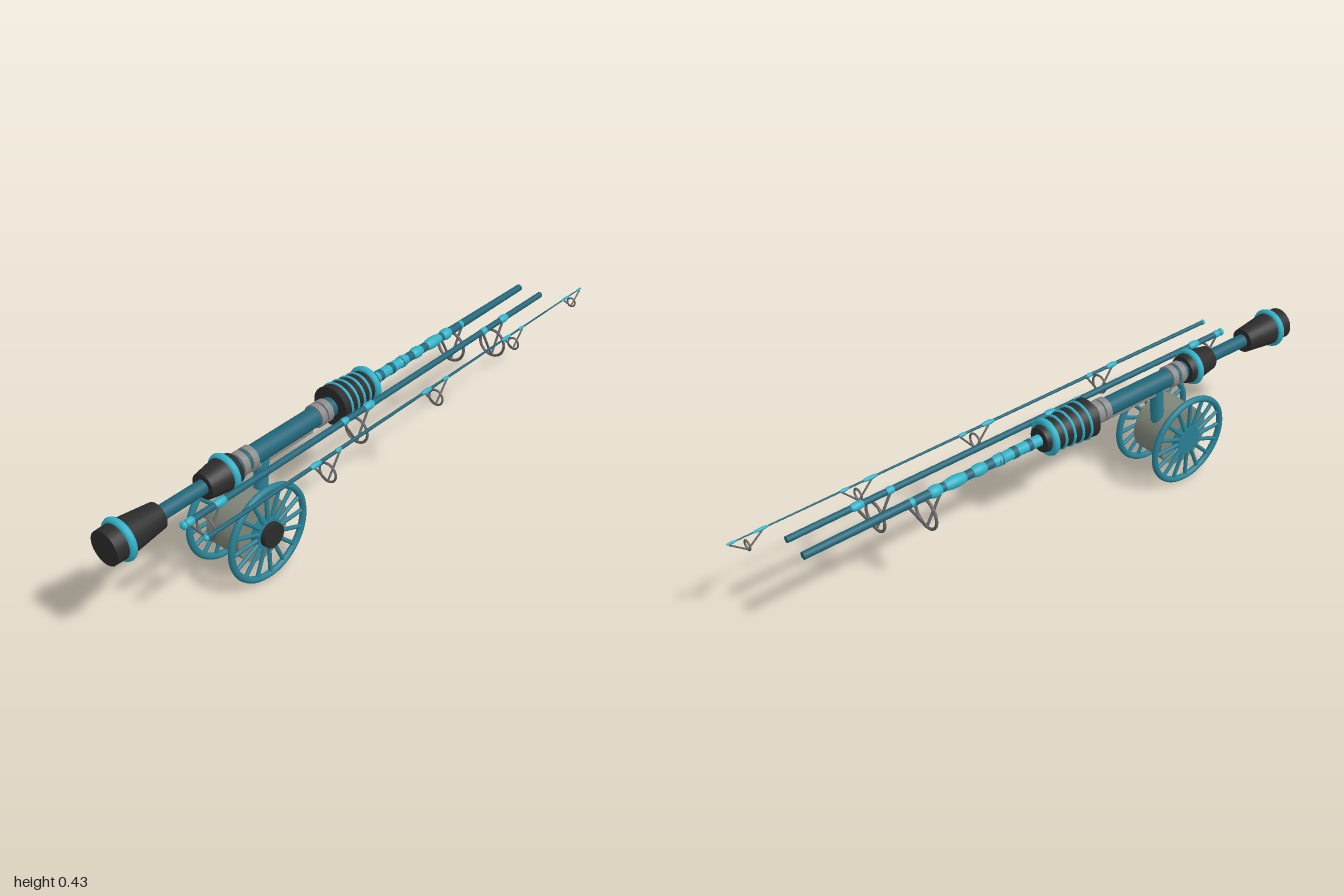
import * as THREE from 'three';

const mat = (color) => new THREE.MeshStandardMaterial({ color, side: THREE.DoubleSide });
const M = {
  blank: mat(0x1f6578), rim: mat(0x287f93), bright: mat(0x2fb0c6),
  dark: mat(0x2b2b2b), metal: mat(0x8a8a8a), wire: mat(0x666666), drum: mat(0x7f8578),
};

function add(parent, name, geometry, material, x = 0, y = 0, z = 0) {
  const mesh = new THREE.Mesh(geometry, material);
  mesh.name = name;
  mesh.position.set(x, y, z);
  parent.add(mesh);
  return mesh;
}

// Round tapered piece along z, from z0 (radius r0) to z1 (radius r1), z0 < z1
function taper(parent, name, z0, r0, z1, r1, material, segments = 28) {
  const g = new THREE.CylinderGeometry(r1, r0, z1 - z0, segments).rotateX(Math.PI / 2);
  return add(parent, name, g, material, 0, 0, (z0 + z1) / 2);
}

// Ring around the z axis
function ring(parent, name, z, radius, tube, material, y = 0) {
  return add(parent, name, new THREE.TorusGeometry(radius, tube, 10, 36), material, 0, y, z);
}

// Thread wrap: rounded spindle around a blank
function wrap(parent, z, radius, length) {
  const g = new THREE.SphereGeometry(radius, 16, 12).scale(1, 1, length / (2 * radius));
  add(parent, 'threadWrap', g, M.bright, 0, 0, z);
}

function rod(parent, name, from, to, radius, material) {
  const a = new THREE.Vector3(...from), b = new THREE.Vector3(...to);
  const g = new THREE.CylinderGeometry(radius, radius, a.distanceTo(b), 10);
  const mesh = add(parent, name, g, material);
  mesh.position.copy(a).add(b).multiplyScalar(0.5);
  mesh.quaternion.setFromUnitVectors(new THREE.Vector3(0, 1, 0), b.sub(a).normalize());
}

// Line guide hanging under a blank: a ring held by two slanted legs
function guide(parent, z, radius, centreY, spread) {
  const g = new THREE.Group();
  g.name = 'lineGuide';
  g.position.z = z;
  parent.add(g);
  const tube = 0.002 + radius * 0.05;
  ring(g, 'guideRing', 0, radius - tube, tube, M.wire, centreY);
  for (const s of [-1, 1]) {
    rod(g, 'guideLeg', [0, -0.005, s * spread], [0, centreY - radius + tube, 0], tube * 0.9, M.wire);
  }
}

function section(root, name, x) {
  const g = new THREE.Group();
  g.name = name;
  g.position.set(x, 0.37, 0);
  root.add(g);
  return g;
}

function buildHandle(root) {
  const g = section(root, 'handleSection', -0.055);

  // Butt grip
  taper(g, 'buttCap', 0.96, 0.053, 1.0, 0.052, M.dark);
  ring(g, 'buttRing', 0.95, 0.053, 0.012, M.bright);
  taper(g, 'buttGrip', 0.82, 0.04, 0.95, 0.055, M.dark);
  taper(g, 'rearBlank', 0.64, 0.022, 0.83, 0.022, M.blank);

  // Rear grip
  taper(g, 'rearGrip', 0.58, 0.052, 0.655, 0.04, M.dark);
  ring(g, 'rearGripRing', 0.572, 0.049, 0.012, M.bright);
  taper(g, 'rearGripCollar', 0.54, 0.046, 0.575, 0.052, M.dark);

  // Reel seat with locking rings
  taper(g, 'reelSeat', 0.11, 0.031, 0.56, 0.031, M.blank);
  for (const z of [0.515, 0.48, 0.193, 0.165]) {
    taper(g, 'lockingRing', z - 0.011, 0.037, z + 0.011, 0.037, M.metal);
  }
  add(g, 'seatPlate', new THREE.BoxGeometry(0.03, 0.012, 0.27), M.metal, 0, -0.033, 0.36);

  // Fore grip with coloured bands
  taper(g, 'foreGrip', -0.02, 0.05, 0.13, 0.064, M.dark);
  for (let i = 0; i < 4; i++) {
    ring(g, 'gripBand', 0.005 + i * 0.031, 0.052 + i * 0.0027, 0.005, M.bright);
  }
  ring(g, 'foreGripRing', -0.032, 0.049, 0.012, M.bright);
  taper(g, 'foreGripTip', -0.058, 0.04, -0.015, 0.05, M.dark);

  // Blank with decorative wraps
  taper(g, 'foreBlank', -0.87, 0.0115, -0.05, 0.016, M.blank, 18);
  taper(g, 'wrapSleeve', -0.21, 0.0165, -0.055, 0.0185, M.bright, 18);
  for (const z of [-0.1, -0.155, -0.21]) taper(g, 'darkBand', z - 0.008, 0.0185, z + 0.008, 0.019, M.blank, 18);
  for (const [z, len] of [[-0.21, 0.08], [-0.285, 0.075], [-0.37, 0.11], [-0.44, 0.06]]) wrap(g, z, 0.019, len);
  wrap(g, -0.52, 0.014, 0.05);
  guide(g, -0.475, 0.056, -0.06, 0.06);
}

function buildMiddle(root) {
  const g = section(root, 'middleSection', 0.03);
  taper(g, 'middleBlank', -0.87, 0.01, 0.81, 0.01, M.blank, 16);
  wrap(g, 0.805, 0.0125, 0.02);
  for (const [z, r, y] of [[0.73, 0.04, -0.052], [0.11, 0.046, -0.058], [-0.59, 0.052, -0.066]]) {
    guide(g, z, r, y, 0.058);
    wrap(g, z - 0.055, 0.0135, 0.06);
    wrap(g, z + 0.055, 0.012, 0.045);
  }
}

function buildTip(root) {
  const g = section(root, 'tipSection', 0.113);
  taper(g, 'tipBlank', -1.0, 0.002, 0.81, 0.007, M.blank, 14);
  wrap(g, 0.805, 0.009, 0.016);
  for (const [z, r, y, s, w] of [
    [0.335, 0.034, -0.052, 0.055, 0.009], [-0.17, 0.029, -0.046, 0.055, 0.008],
    [-0.59, 0.023, -0.04, 0.05, 0.0065], [-0.945, 0.018, -0.032, 0.05, 0.005],
  ]) {
    guide(g, z, r, y, s);
    wrap(g, z + s * 0.9, w, 0.055);
    wrap(g, z - s * 0.85, w * 0.8, 0.035);
  }
}

// Reel: drum between two spoked wheels, axle along x
function buildReel(root) {
  const g = new THREE.Group();
  g.name = 'reel';
  g.position.set(-0.055, 0.16, 0.5);
  root.add(g);
  const across = (name, radius, width, material, x) =>
    add(g, name, new THREE.CylinderGeometry(radius, radius, width, 40).rotateZ(Math.PI / 2), material, x);

  across('drum', 0.1, 0.128, M.drum, 0);
  across('axle', 0.05, 0.168, M.rim, 0);
  across('knob', 0.039, 0.03, M.dark, 0.094);

  for (const side of [-1, 1]) {
    const wheel = new THREE.Group();
    wheel.name = side < 0 ? 'rightWheel' : 'leftWheel';
    wheel.position.x = side * 0.084;
    g.add(wheel);
    add(wheel, 'rim', new THREE.TorusGeometry(0.147, 0.0105, 12, 56).rotateY(Math.PI / 2), M.rim);
    add(wheel, 'hub', new THREE.CylinderGeometry(0.048, 0.048, 0.014, 32).rotateZ(Math.PI / 2), M.rim);
    const count = 16;
    for (let i = 0; i < count; i++) {
      const a = (i / count) * Math.PI * 2, c = Math.cos(a), s = Math.sin(a);
      rod(wheel, 'spoke', [0, c * 0.04, s * 0.04], [0, c * 0.146, s * 0.146], 0.0065, M.rim);
    }
  }

  // Foot joining the reel to its seat
  rod(g, 'reelFoot', [0, 0.06, -0.06], [0, 0.19, -0.075], 0.022, M.rim);
}

export function createModel() {
  const root = new THREE.Group();
  root.name = 'fishingRod';
  buildHandle(root);
  buildMiddle(root);
  buildTip(root);
  buildReel(root);
  return root;
}
